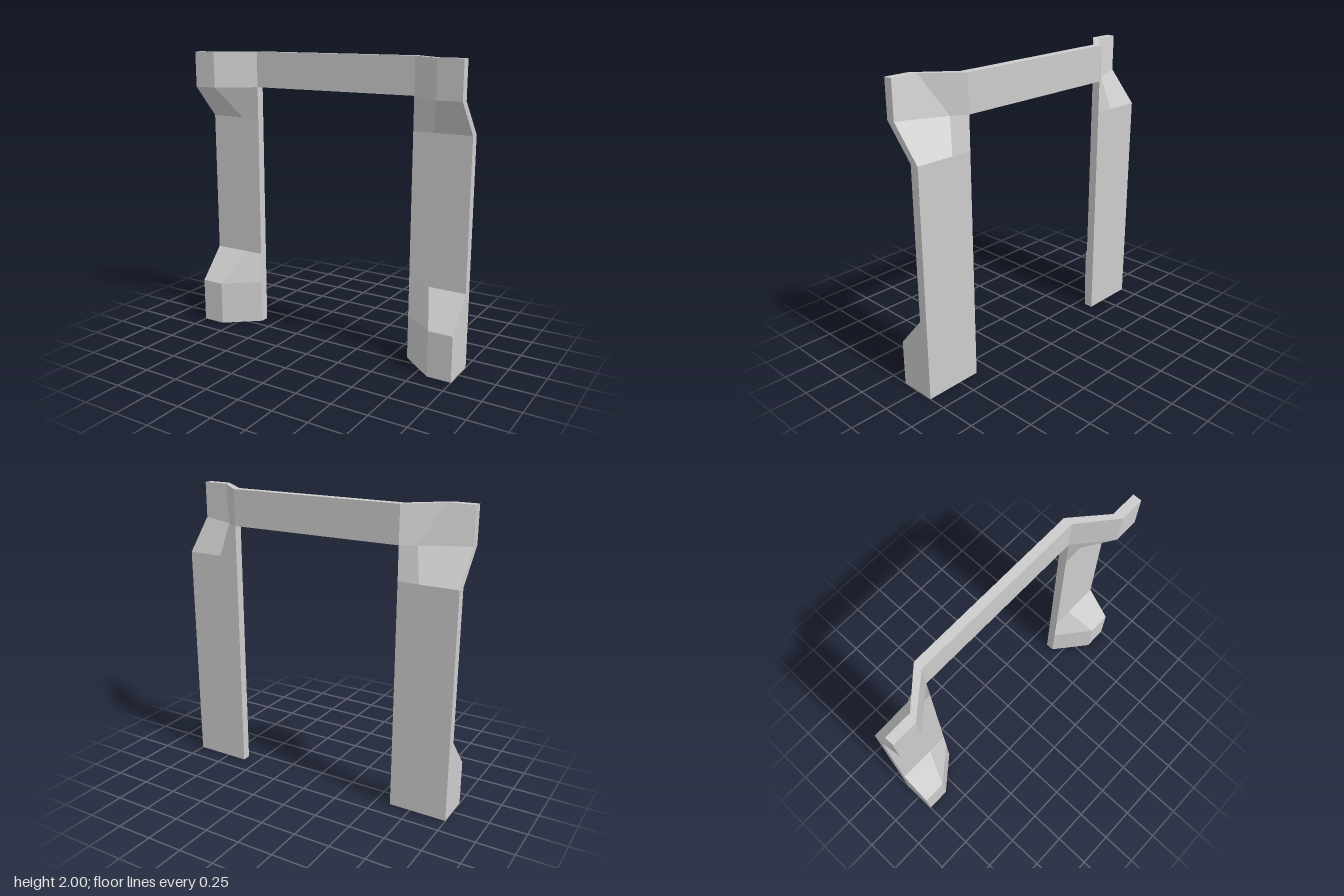
import * as THREE from 'three';

const material = new THREE.MeshStandardMaterial({ color: 0xcccccc });

// Levels up the post, and depths from front to back
const FOOT = 0.31, FOOT_TOP = 0.53, HEAD = 1.535, LINTEL = 1.755, TOP = 2;
const IN = 0.605, OUT = 1, FRONT = 0.125, SHELL = 0.065, FACE = -0.065, BACK = -0.125;

// Corner lines of a post, each taking a height
const line = (x, z) => (y) => [x, y, z];
const innerFront = line(IN, FACE), innerBack = line(IN, BACK);
const outerFace = line(OUT, FACE), outerBack = line(OUT, BACK);
const bendFront = line(0.835, FRONT), outerFront = line(OUT, FRONT);
const bendFace = line(0.745, FACE), bendBack = line(0.745, BACK);
const outerShell = line(OUT, SHELL);
const shellTop = [0.82, TOP, SHELL], shellLow = [0.7, LINTEL, FACE];

// Builds flat-shaded polygons, each as a fan from its first corner with one normal
function facets(polygons, side) {
  const positions = [], normals = [];
  for (const polygon of polygons) {
    let pts = polygon.map(([x, y, z]) => new THREE.Vector3(side * x, y, z));
    if (side < 0) pts = [pts[0], ...pts.slice(1).reverse()];
    const normal = new THREE.Vector3();
    pts.forEach((p, i) => normal.add(p.clone().cross(pts[(i + 1) % pts.length])));
    normal.normalize();
    for (let i = 1; i < pts.length - 1; i++) {
      for (const p of [pts[0], pts[i], pts[i + 1]]) {
        positions.push(p.x, p.y, p.z);
        normals.push(normal.x, normal.y, normal.z);
      }
    }
  }
  const geometry = new THREE.BufferGeometry();
  geometry.setAttribute('position', new THREE.Float32BufferAttribute(positions, 3));
  geometry.setAttribute('normal', new THREE.Float32BufferAttribute(normals, 3));
  return geometry;
}

// Solid flared foot
const foot = [
  [innerFront(0), bendFront(0), bendFront(FOOT), innerFront(FOOT)],
  [bendFront(0), outerFront(0), outerFront(FOOT), bendFront(FOOT)],
  [innerFront(FOOT), bendFront(FOOT), bendFace(FOOT_TOP), innerFront(FOOT_TOP)],
  [bendFront(FOOT), outerFront(FOOT), outerFace(FOOT_TOP), bendFace(FOOT_TOP)],
  [outerFront(0), outerBack(0), outerBack(FOOT_TOP), outerFace(FOOT_TOP), outerFront(FOOT)],
  [innerBack(0), outerBack(0), outerFront(0), bendFront(0), innerFront(0)],
  [outerBack(0), innerBack(0), innerBack(FOOT_TOP), outerBack(FOOT_TOP)],
  [innerBack(0), innerFront(0), innerFront(FOOT_TOP), innerBack(FOOT_TOP)],
];

// Thin straight post
const post = [
  [innerFront(FOOT_TOP), outerFace(FOOT_TOP), outerFace(HEAD), innerFront(HEAD)],
  [outerBack(FOOT_TOP), innerBack(FOOT_TOP), innerBack(HEAD), outerBack(HEAD)],
  [outerFace(FOOT_TOP), outerBack(FOOT_TOP), outerBack(HEAD), outerFace(HEAD)],
  [innerBack(FOOT_TOP), innerFront(FOOT_TOP), innerFront(HEAD), innerBack(HEAD)],
];

// Flared head, a shell hollow at the back
const head = [
  // front
  [innerFront(LINTEL), innerFront(HEAD), bendFace(HEAD), bendFront(LINTEL)],
  [bendFace(HEAD), outerFace(HEAD), outerFront(LINTEL), bendFront(LINTEL)],
  [innerFront(LINTEL), bendFront(LINTEL), bendFront(TOP), innerFront(TOP)],
  [bendFront(LINTEL), outerFront(LINTEL), outerFront(TOP), bendFront(TOP)],
  // hollow back
  [bendBack(HEAD), innerBack(HEAD), innerBack(LINTEL), shellLow],
  [outerBack(HEAD), bendBack(HEAD), shellLow, outerShell(LINTEL)],
  [shellLow, innerBack(LINTEL), innerBack(TOP), shellTop],
  [outerShell(LINTEL), shellLow, shellTop, outerShell(TOP)],
  // rims
  [outerFace(HEAD), outerBack(HEAD), outerShell(LINTEL), outerFront(LINTEL)],
  [outerFront(LINTEL), outerShell(LINTEL), outerShell(TOP), outerFront(TOP)],
  [innerBack(HEAD), innerFront(HEAD), innerFront(LINTEL), innerBack(LINTEL)],
  [innerFront(TOP), bendFront(TOP), shellTop, innerBack(TOP)],
  [bendFront(TOP), outerFront(TOP), outerShell(TOP), shellTop],
];

export function createModel() {
  const model = new THREE.Group();
  model.name = 'doorFrame';

  // Mirrored side posts
  for (const [side, label] of [[1, 'left'], [-1, 'right']]) {
    const leg = new THREE.Group();
    leg.name = label + 'Leg';
    for (const [name, polygons] of Object.entries({ Foot: foot, Post: post, Head: head })) {
      const mesh = new THREE.Mesh(facets(polygons, side), material);
      mesh.name = label + name;
      leg.add(mesh);
    }
    model.add(leg);
  }

  // Lintel between the heads
  const lintel = new THREE.Mesh(new THREE.BoxGeometry(2 * IN, TOP - LINTEL, FACE - BACK), material);
  lintel.name = 'lintel';
  lintel.position.set(0, (TOP + LINTEL) / 2, (FACE + BACK) / 2);
  model.add(lintel);

  return model;
}
